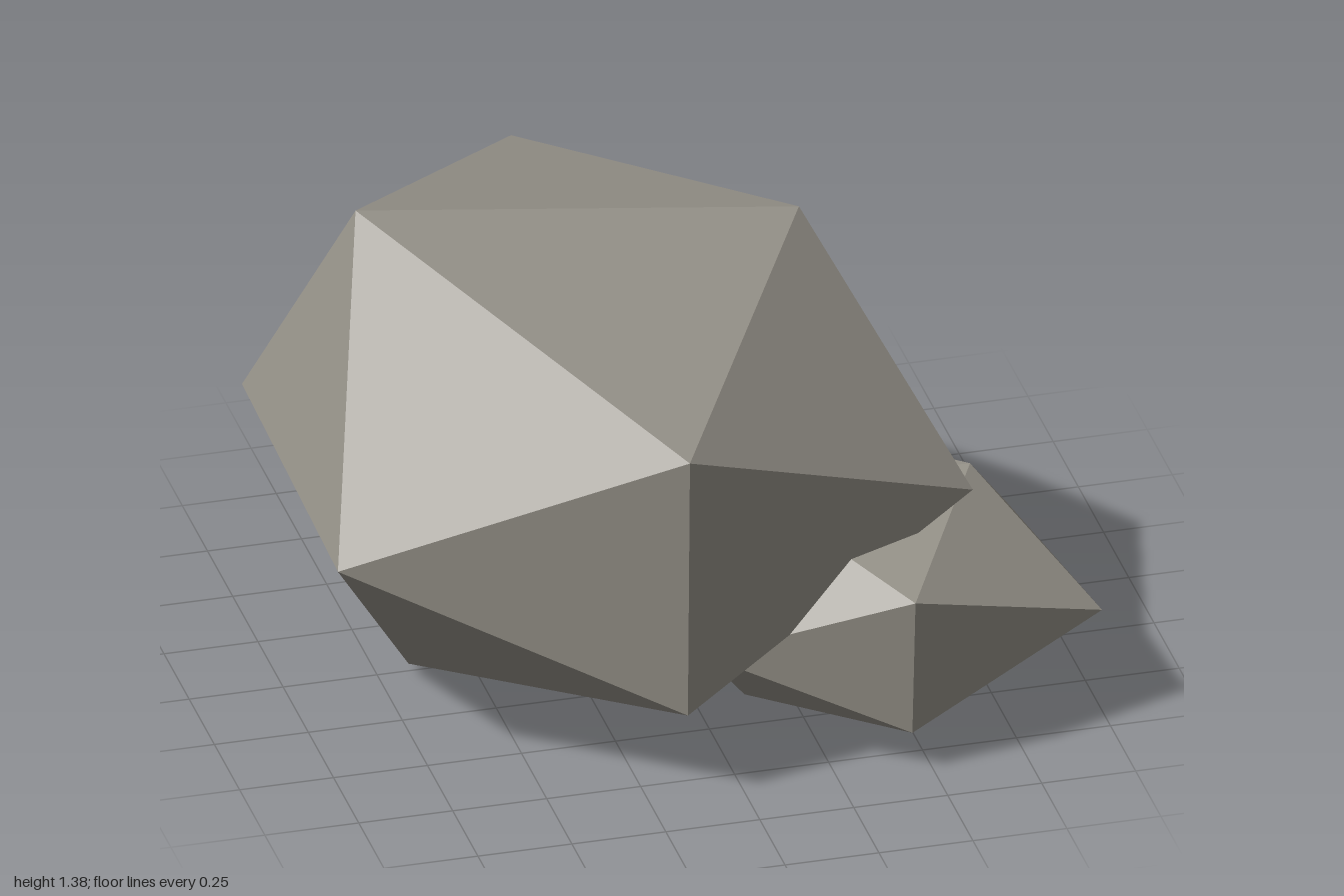
import * as THREE from 'three';

const T = (1 + Math.sqrt(5)) / 2;

// The twelve icosahedron corners, in the order used by the reach lists
const CORNERS = [
  [-1, T, 0], [1, T, 0], [-1, -T, 0], [1, -T, 0],
  [0, -1, T], [0, 1, T], [0, -1, -T], [0, 1, -T],
  [T, 0, -1], [T, 0, 1], [-T, 0, -1], [-T, 0, 1],
].map((c) => new THREE.Vector3(...c));

// Rough boulder: an icosahedron whose corners are pushed in or out, then squashed in y
function boulder(name, material, center, squash, reach) {
  const geometry = new THREE.IcosahedronGeometry(1, 0);
  const position = geometry.attributes.position;
  const v = new THREE.Vector3();
  for (let i = 0; i < position.count; i++) {
    v.fromBufferAttribute(position, i);
    const k = CORNERS.findIndex((c) => c.dot(v) > 1.8);
    v.copy(CORNERS[k]).multiplyScalar(reach[k]);
    position.setXYZ(i, v.x, v.y * squash, v.z);
  }
  geometry.computeVertexNormals();
  const mesh = new THREE.Mesh(geometry, material);
  mesh.name = name;
  mesh.position.set(...center);
  return mesh;
}

export function createModel() {
  const group = new THREE.Group();
  group.name = 'rocks';
  const stone = new THREE.MeshStandardMaterial({ color: 0x99958c, flatShading: true });
  stone.name = 'warm grey stone';

  // Large boulder
  const largeReach = [1.26, 1, 0.99, 0.89, 1, 1.024, 0.94, 1.077, 0.92, 1, 0.975, 1]
    .map((r) => r * 0.522);
  group.add(boulder('largeBoulder', stone, [-0.155, 0.625, 0.02], 0.71, largeReach));

  // Small boulder leaning into its front left side
  const smallReach = [0.31, 0.29, 0.31, 0.285, 0.315, 0.334, 0.284, 0.3, 0.285, 0.34, 0.3, 0.31];
  group.add(boulder('smallBoulder', stone, [0.445, 0.305, 0.345], 0.61, smallReach));

  return group;
}
